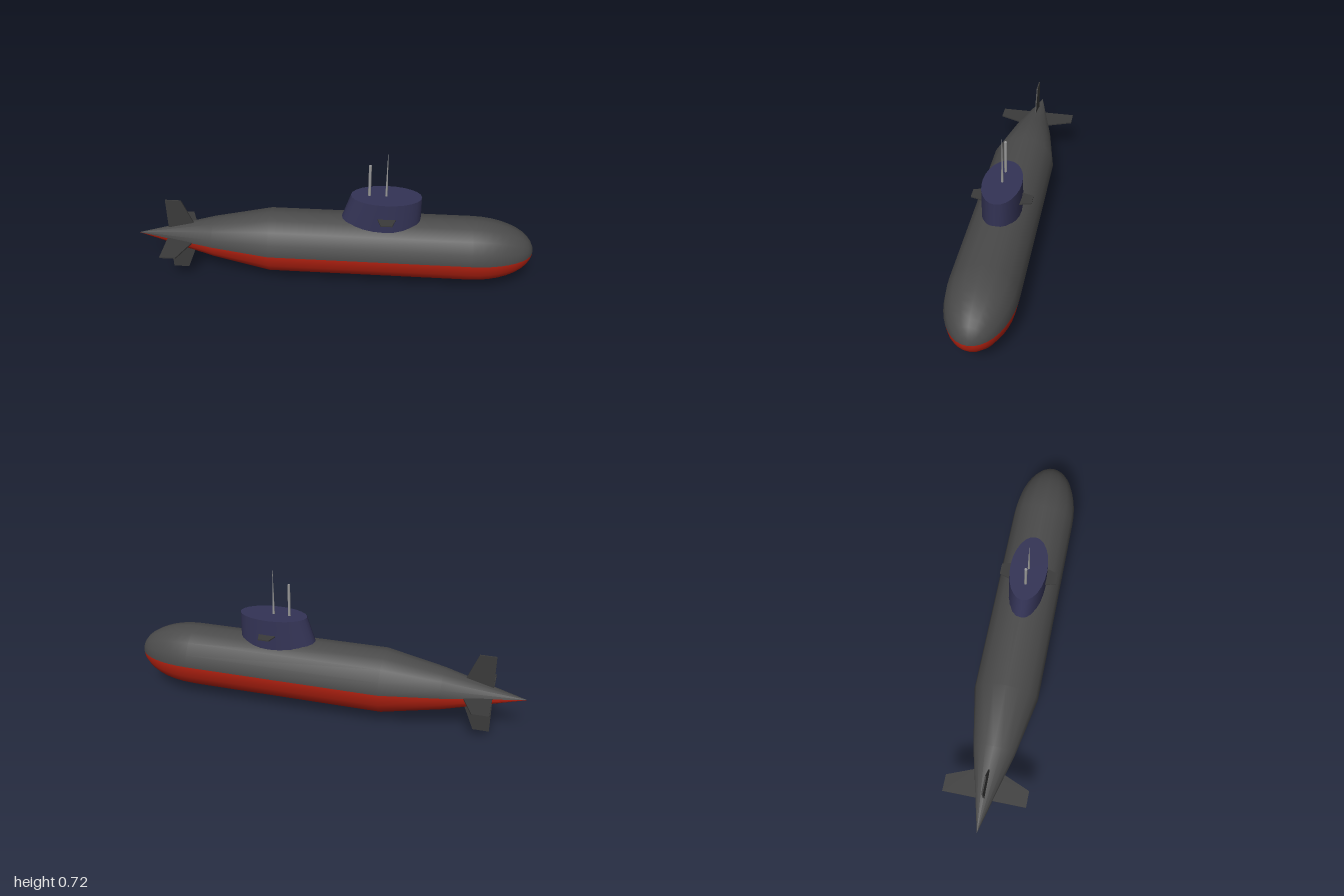
import * as THREE from 'three';

const AXIS_Y = 0.205;   // height of the hull centre line
const RADIUS = 0.162;

const paint = (name, color) => {
  const m = new THREE.MeshStandardMaterial({ color });
  m.name = name;
  return m;
};

export function createModel() {
  const group = new THREE.Group();
  const upperGrey = paint('upperHullGrey', 0x4a4a4a);
  const lowerRed = paint('lowerHullRed', 0xb02010);
  const navy = paint('sailNavy', 0x333355);
  const finGrey = paint('finGrey', 0x3a3a3a);
  const mastGrey = paint('mastGrey', 0x999999);

  const add = (name, geometry, material, x = 0, y = 0, z = 0) => {
    const mesh = new THREE.Mesh(geometry, material);
    mesh.name = name;
    mesh.position.set(x, y, z);
    group.add(mesh);
    return mesh;
  };

  // Hull: conical tail, straight middle and elliptical nose, in two painted halves
  const profile = [[0, -1], [0.105, -0.6], [RADIUS, -0.31]].map(p => new THREE.Vector2(...p));
  const steps = 10;
  for (let i = 0; i <= steps; i++) {
    const a = (i / steps) * Math.PI / 2;
    profile.push(new THREE.Vector2(i === steps ? 0 : RADIUS * Math.cos(a), 0.69 + 0.31 * Math.sin(a)));
  }
  const hullHalf = start => new THREE.LatheGeometry(profile, 8, start, Math.PI).rotateZ(-Math.PI / 2);
  add('upperHull', hullHalf(Math.PI), upperGrey, 0, AXIS_Y);
  add('lowerHull', hullHalf(0), lowerRed, 0, AXIS_Y);

  // Sail: elliptical tower whose aft half leans outward towards the hull
  const bottom = 0.29, top = 0.49;
  const sail = new THREE.CylinderGeometry(1, 1, top - bottom, 24, 1, false, Math.PI / 2);
  sail.translate(0, (top + bottom) / 2, 0);
  const pos = sail.attributes.position;
  for (let i = 0; i < pos.count; i++) {
    const x = pos.getX(i), y = pos.getY(i);
    const halfLength = x < 0 ? 0.172 + 0.35 * (top - y) : 0.173;
    pos.setXYZ(i, 0.262 + x * halfLength, y, pos.getZ(i) * 0.092);
  }
  sail.computeVertexNormals();
  add('sail', sail, navy);

  // Flat plates, drawn as (x, span) outlines mirrored across the centre line
  const plate = (half, thickness) => {
    const outline = [...half, ...half.map(([x, s]) => [x, -s]).reverse()];
    const shape = new THREE.Shape(outline.map(p => new THREE.Vector2(...p)));
    return new THREE.ExtrudeGeometry(shape, { depth: thickness, bevelEnabled: false })
      .translate(0, 0, -thickness / 2);
  };
  const tailOutline = [[-0.84, 0.205], [-0.76, 0.205], [-0.708, 0.075]];
  add('rudders', plate(tailOutline, 0.007), finGrey, 0, AXIS_Y);
  add('sternPlanes', plate(tailOutline, 0.007).rotateX(Math.PI / 2), finGrey, 0, AXIS_Y);
  const sailOutline = [[0.222, 0.08], [0.24, 0.143], [0.296, 0.143], [0.314, 0.08]];
  add('sailPlanes', plate(sailOutline, 0.006).rotateX(Math.PI / 2), finGrey, 0, 0.409);

  // Masts
  add('periscope', new THREE.CylinderGeometry(0.007, 0.007, 0.175, 8), mastGrey, 0.18, 0.5675);
  add('antenna', new THREE.CylinderGeometry(0.001, 0.006, 0.24, 8), mastGrey, 0.262, 0.6);

  return group;
}
